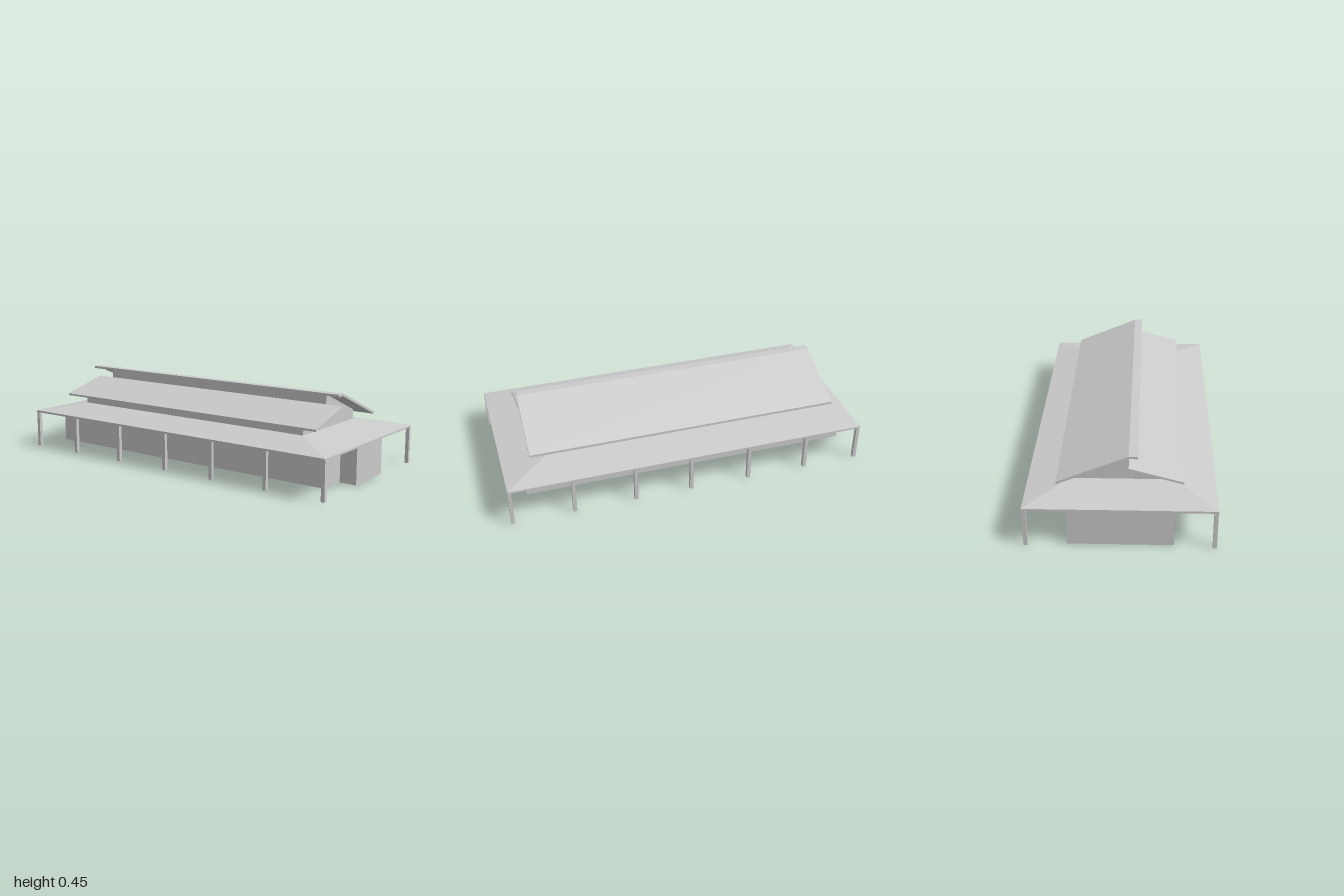
import * as THREE from 'three';

const material = new THREE.MeshStandardMaterial({ color: 0xcccccc, flatShading: true });

export function createModel() {
  const model = new THREE.Group();
  model.name = 'longHouse';

  const add = (name, geometry, parent = model) => {
    const mesh = new THREE.Mesh(geometry, material);
    mesh.name = name;
    parent.add(mesh);
    return mesh;
  };

  // Box given by its limits on each axis
  const box = (name, x0, x1, y0, y1, z0, z1, parent) =>
    add(name, new THREE.BoxGeometry(x1 - x0, y1 - y0, z1 - z0), parent)
      .position.set((x0 + x1) / 2, (y0 + y1) / 2, (z0 + z1) / 2);

  // Front outline swept along z
  const sweep = (name, points, z0, z1) => {
    const shape = new THREE.Shape(points.map(([x, y]) => new THREE.Vector2(x, y)));
    const geometry = new THREE.ExtrudeGeometry(shape, { depth: z1 - z0, bevelEnabled: false });
    add(name, geometry.translate(0, 0, z0));
  };

  const eaveBottom = 0.205, eaveTop = 0.216, skirtTop = 0.257;
  const wallLeft = 0.262, wallRight = -0.267;
  const upperFront = 0.75, upperBack = -0.78;

  // Ground floor walls with the projecting front bay
  box('lowerWalls', wallRight, wallLeft, 0, eaveBottom, -0.98, 0.885);
  box('frontBay', -0.118, 0.16, 0, eaveBottom, 0.88, 0.98);

  // Verandah roof: flat eave band, then four hipped slopes up to the upper walls
  box('eaveBand', -0.479, 0.479, eaveBottom, eaveTop, -1, 1);
  const skirt = new THREE.BoxGeometry(0.958, 1, 2);
  const p = skirt.attributes.position;
  for (let i = 0; i < p.count; i++) {
    if (p.getY(i) < 0) p.setY(i, eaveTop);
    else p.setXYZ(i, p.getX(i) > 0 ? wallLeft : wallRight, skirtTop,
      p.getZ(i) > 0 ? upperFront : upperBack);
  }
  skirt.computeVertexNormals();
  add('verandahRoof', skirt);

  // Clerestory walls with stepped gable ends
  sweep('upperWalls', [
    [wallRight, 0.25], [wallLeft, 0.25], [wallLeft, 0.311],
    [-0.04, 0.437], [-0.04, 0.372], [wallRight, 0.31],
  ], upperBack, upperFront);

  // Two overlapping roof slabs
  sweep('lowRoof', [
    [-0.313, 0.297], [-0.04, 0.372], [-0.04, 0.384], [-0.313, 0.308],
  ], -0.89, 0.85);
  sweep('highRoof', [
    [-0.085, 0.438], [-0.042, 0.438], [0.318, 0.288],
    [0.318, 0.302], [-0.04, 0.451], [-0.085, 0.451],
  ], -0.89, 0.85);

  // Verandah posts along both long sides
  const posts = new THREE.Group();
  posts.name = 'verandahPosts';
  model.add(posts);
  for (const x of [-0.467, 0.467])
    for (const z of [0.99, 0.655, 0.315, 0, -0.335, -0.675, -0.99])
      box('post', x - 0.01, x + 0.01, 0, eaveBottom, z - 0.01, z + 0.01, posts);

  return model;
}
